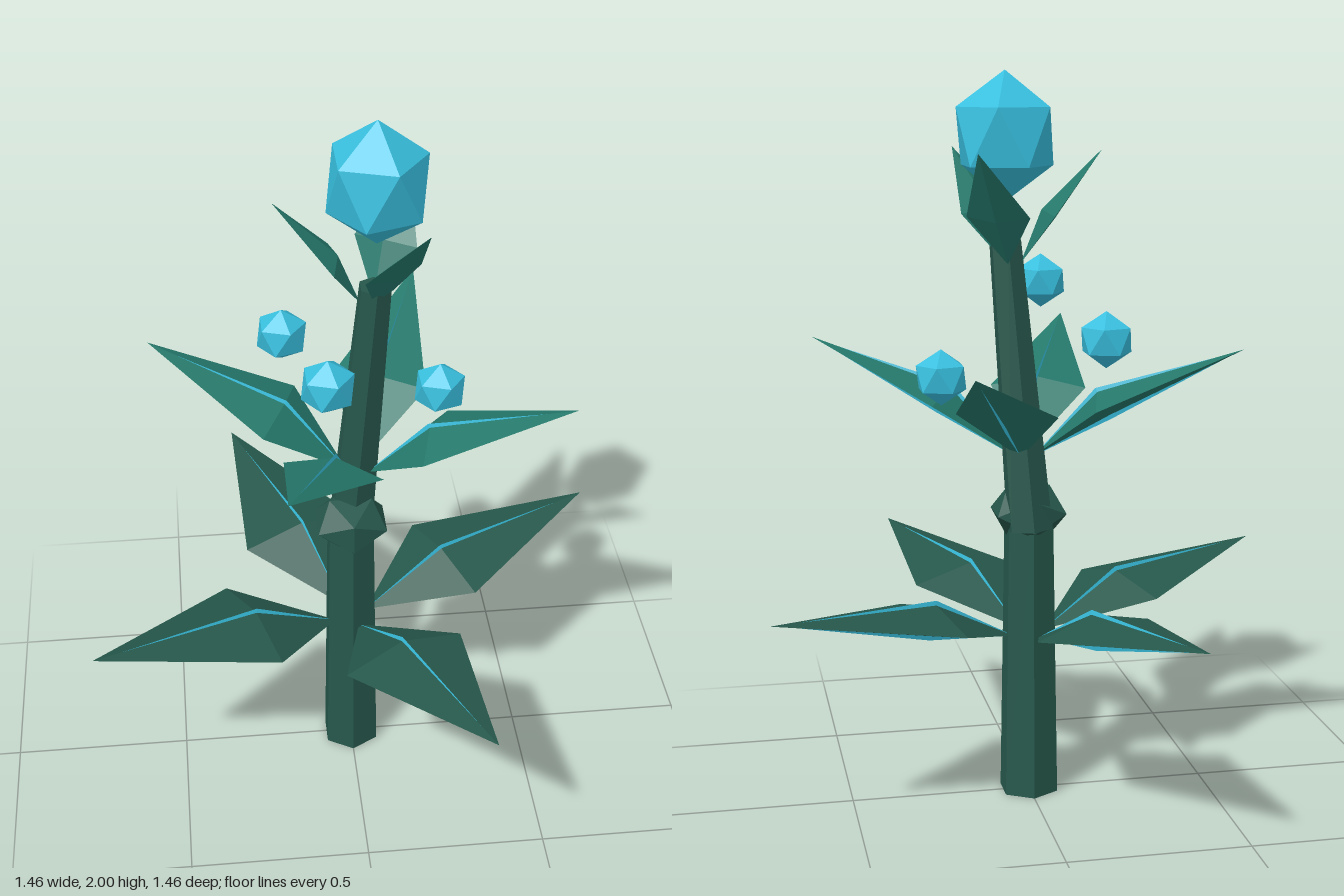
import * as THREE from 'three';

const mat = (name, color) => {
  const m = new THREE.MeshStandardMaterial({ color });
  m.name = name;
  return m;
};

// Give every face its own normal for a faceted look
const faceted = (geo) => {
  const g = geo.index ? geo.toNonIndexed() : geo;
  g.computeVertexNormals();
  return g;
};

// Hexagonal stem section between two points
function stemSection(from, to, rBottom, rTop) {
  const a = new THREE.Vector3(...from), b = new THREE.Vector3(...to);
  const dir = b.clone().sub(a);
  const geo = new THREE.CylinderGeometry(rTop, rBottom, dir.length(), 6);
  const q = new THREE.Quaternion().setFromUnitVectors(new THREE.Vector3(0, 1, 0), dir.normalize());
  geo.applyQuaternion(q);
  geo.translate(...a.add(b).multiplyScalar(0.5).toArray());
  return faceted(geo);
}

// Pointed blade along +z: base point, diamond cross-section, tip.
// base, mid and tip are [z, y] pairs.
function bladeGeometry({ base, mid, tip, width, thick }) {
  const slope = Math.atan2(tip[1] - base[1], tip[0] - base[0]);
  const nz = -Math.sin(slope) * thick, ny = Math.cos(slope) * thick;
  const B = [0, base[1], base[0]], T = [0, tip[1], tip[0]];
  const ring = [
    [width, mid[1], mid[0]],
    [0, mid[1] + ny, mid[0] + nz],
    [-width, mid[1], mid[0]],
    [0, mid[1] - ny, mid[0] - nz],
  ];
  const pos = [];
  for (let i = 0; i < 4; i++) {
    const p = ring[i], q = ring[(i + 1) % 4];
    pos.push(...p, ...q, ...T, ...q, ...p, ...B);
  }
  const geo = new THREE.BufferGeometry();
  geo.setAttribute('position', new THREE.Float32BufferAttribute(pos, 3));
  return faceted(geo);
}

// Icosahedron standing on a vertex
function crystalGeometry(radius, stretch = 1) {
  const geo = new THREE.IcosahedronGeometry(radius, 0);
  geo.rotateX(-Math.atan((1 + Math.sqrt(5)) / 2));
  geo.rotateY(Math.PI / 2);
  geo.scale(1, stretch, 1);
  return faceted(geo);
}

export function createModel() {
  const group = new THREE.Group();
  group.name = 'crystalPlant';
  const darkGreen = mat('dark green', 0x26574b);
  const teal = mat('teal green', 0x25786b);
  const cyan = mat('crystal cyan', 0x38bfde);

  const add = (parent, name, geo, material, pos = [0, 0, 0]) => {
    const mesh = new THREE.Mesh(geo, material);
    mesh.name = name;
    mesh.position.set(...pos);
    parent.add(mesh);
    return mesh;
  };

  // Stem and its knot
  add(group, 'lowerStem', stemSection([0, 0, 0], [0, 0.8, 0], 0.085, 0.071), darkGreen);
  add(group, 'upperStem', stemSection([0.004, 0.77, -0.038], [0.064, 1.555, 0], 0.066, 0.045), darkGreen);
  const knot = new THREE.IcosahedronGeometry(0.112, 0);
  knot.scale(1, 0.75, 1);
  add(group, 'stemKnot', faceted(knot), darkGreen, [0, 0.81, 0.005]);

  // Ring of blades, each with an optional thin cyan vein
  const whorl = (name, count, start, center, blade, material, vein) => {
    const leafGeo = bladeGeometry(blade);
    const veinGeo = vein && bladeGeometry({ ...blade, ...vein });
    for (let i = 0; i < count; i++) {
      const leaf = new THREE.Group();
      leaf.name = name + (i + 1);
      leaf.position.set(center[0], 0, center[1]);
      leaf.rotation.y = start + (i * 2 * Math.PI) / count;
      add(leaf, 'blade', leafGeo, material);
      if (veinGeo) add(leaf, 'vein', veinGeo, cyan);
      group.add(leaf);
    }
  };

  whorl('lowerLeaf', 4, 0.396, [0, 0],
    { base: [0.05, 0.46], mid: [0.31, 0.55], tip: [0.79, 0.62], width: 0.18, thick: 0.043 },
    darkGreen, { width: 0.011, thick: 0.055, tip: [0.77, 0.617] });

  whorl('upperLeaf', 4, -0.384, [0.0175, -0.01],
    { base: [0.03, 0.97], mid: [0.22, 1.122], tip: [0.593, 1.28], width: 0.136, thick: 0.036 },
    teal, { width: 0.01, thick: 0.047, tip: [0.575, 1.272] });

  whorl('sepal', 3, -Math.PI / 2, [0.052, -0.022],
    { base: [0.025, 1.495], mid: [0.1, 1.625], tip: [0.247, 1.795], width: 0.088, thick: 0.022 }, teal);

  // Large crystal bloom and floating berries
  add(group, 'crystalBloom', crystalGeometry(0.145, 1.172), cyan, [0.07, 1.83, -0.034]);
  const berry = crystalGeometry(0.0755);
  [[-0.082, 1.417, 0.241], [-0.169, 1.31, -0.19], [0.247, 1.2, -0.05]]
    .forEach((p, i) => add(group, 'berry' + (i + 1), berry, cyan, p));

  return group;
}
